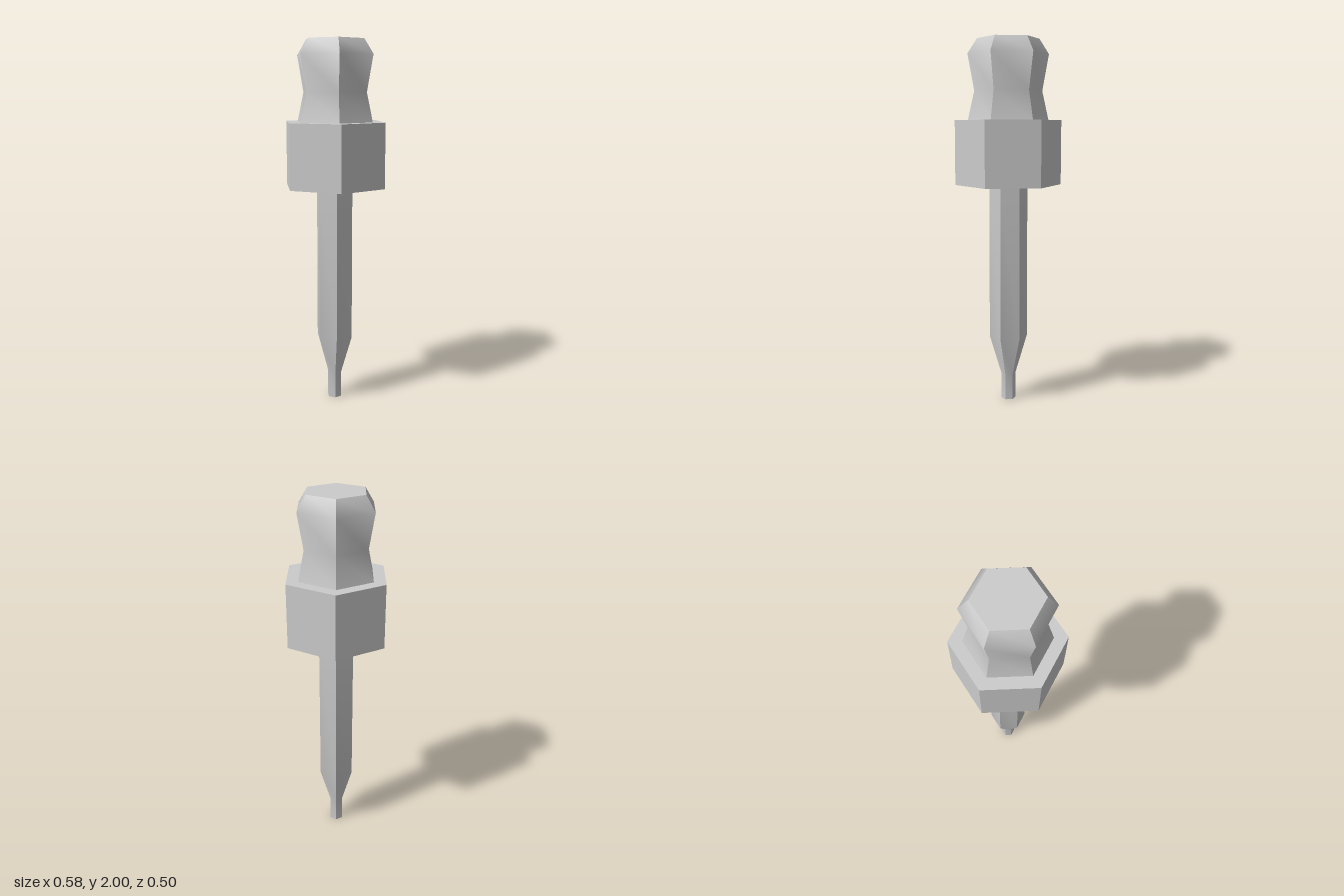
import * as THREE from 'three';
import { toCreasedNormals } from 'three/addons/utils/BufferGeometryUtils.js';

const material = new THREE.MeshStandardMaterial({ color: 0xcccccc });

// Six-sided turned part from [radius, height] pairs, bottom to top, with corners on the x axis.
// Creased between sides, smooth along the height.
function hexPart(name, profile) {
  const bottom = profile[0][1];
  const top = profile[profile.length - 1][1];
  const points = [[0, bottom], ...profile, [0, top]].map(([r, y]) => new THREE.Vector2(r, y));
  const geometry = new THREE.LatheGeometry(points, 6, Math.PI / 2);
  const mesh = new THREE.Mesh(toCreasedNormals(geometry, 0.8), material);
  mesh.name = name;
  return mesh;
}

export function createModel() {
  const model = new THREE.Group();
  model.name = 'hexDriverBit';

  model.add(
    // Narrow tip, taper and long shaft
    hexPart('shaft', [[0.04, 0], [0.04, 0.145], [0.105, 0.365], [0.105, 1.22]]),
    // Wide hexagonal collar
    hexPart('collar', [[0.29, 1.22], [0.29, 1.57]]),
    // Waisted head with a chamfered top
    hexPart('head', [[0.219, 1.57], [0.184, 1.725], [0.219, 1.92], [0.167, 2]])
  );
  return model;
}
